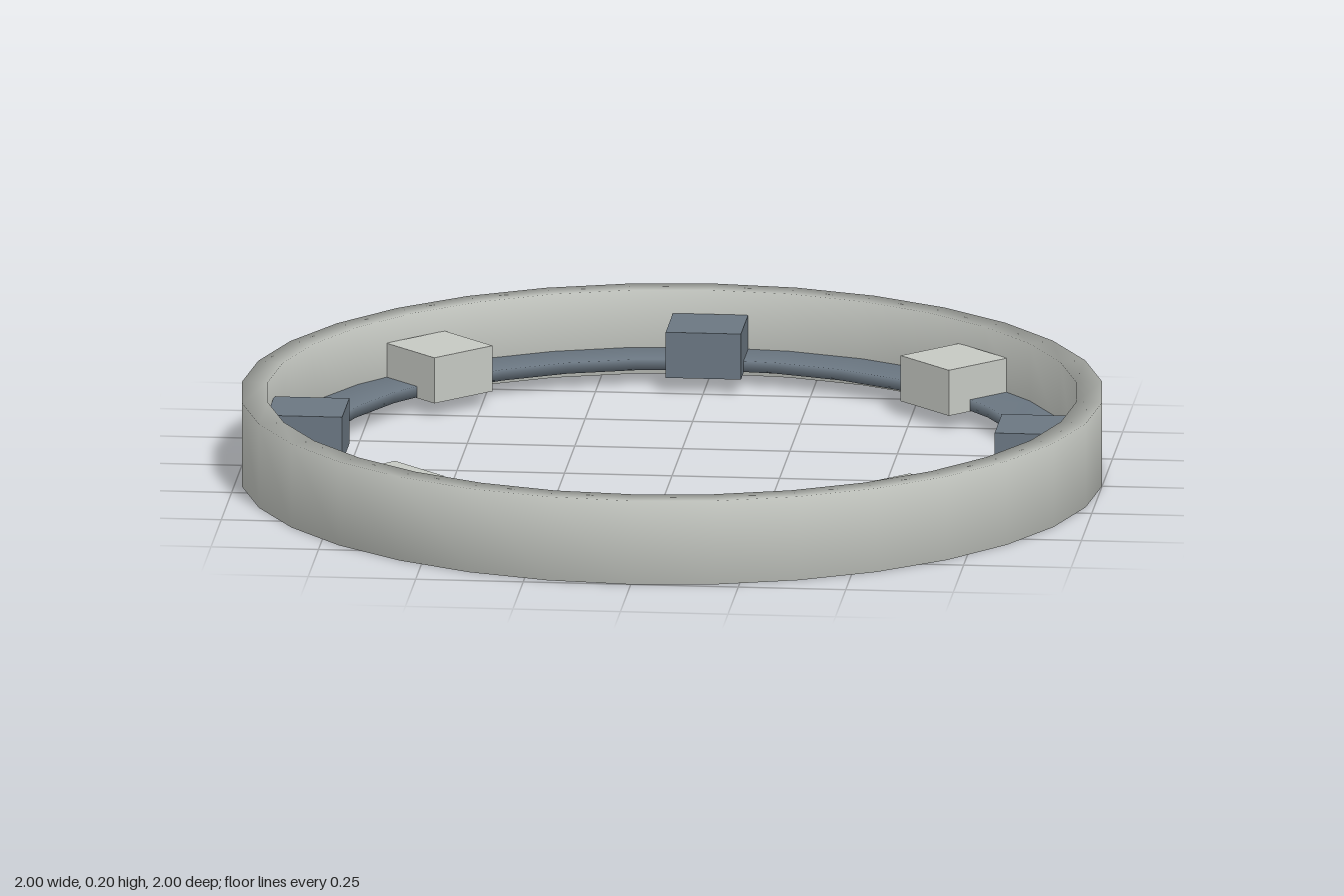
import * as THREE from 'three';
import { mergeVertices } from 'three/addons/utils/BufferGeometryUtils.js';

const SIDES = 32;

// Closed rectangular section revolved about y, with normals blended over its edges
function ringGeometry(inner, outer, bottom, top) {
  const profile = [
    [outer, bottom], [outer, top], [inner, top], [inner, bottom], [outer, bottom],
  ].map(([r, y]) => new THREE.Vector2(r, y));
  const lathe = new THREE.LatheGeometry(profile, SIDES);
  lathe.deleteAttribute('normal');
  lathe.deleteAttribute('uv');
  const geometry = mergeVertices(lathe, 1e-4);
  geometry.computeVertexNormals();
  return geometry;
}

export function createModel() {
  const paleGrey = new THREE.MeshStandardMaterial({ color: 0xc6c9c3 });
  paleGrey.name = 'pale grey';
  const slateBlue = new THREE.MeshStandardMaterial({ color: 0x6b7782 });
  slateBlue.name = 'slate blue';

  const model = new THREE.Group();
  model.name = 'ringStation';

  const add = (name, geometry, material) => {
    const mesh = new THREE.Mesh(geometry, material);
    mesh.name = name;
    model.add(mesh);
    return mesh;
  };

  // Tall outer hoop and the thin ledge inside it
  add('outerHoop', ringGeometry(0.94, 1, 0, 0.2), paleGrey);
  add('innerLedge', ringGeometry(0.83, 0.942, 0.037, 0.063), slateBlue);

  // Eight blocks around the ledge, alternating in colour
  const block = new THREE.BoxGeometry(0.175, 0.109, 0.175);
  for (let i = 0; i < 8; i++) {
    const angle = (i * Math.PI) / 4;
    const mesh = add(`block${i + 1}`, block, i % 2 ? paleGrey : slateBlue);
    mesh.position.set(Math.sin(angle) * 0.846, 0.0895, Math.cos(angle) * 0.846);
    mesh.rotation.y = angle;
  }
  return model;
}
